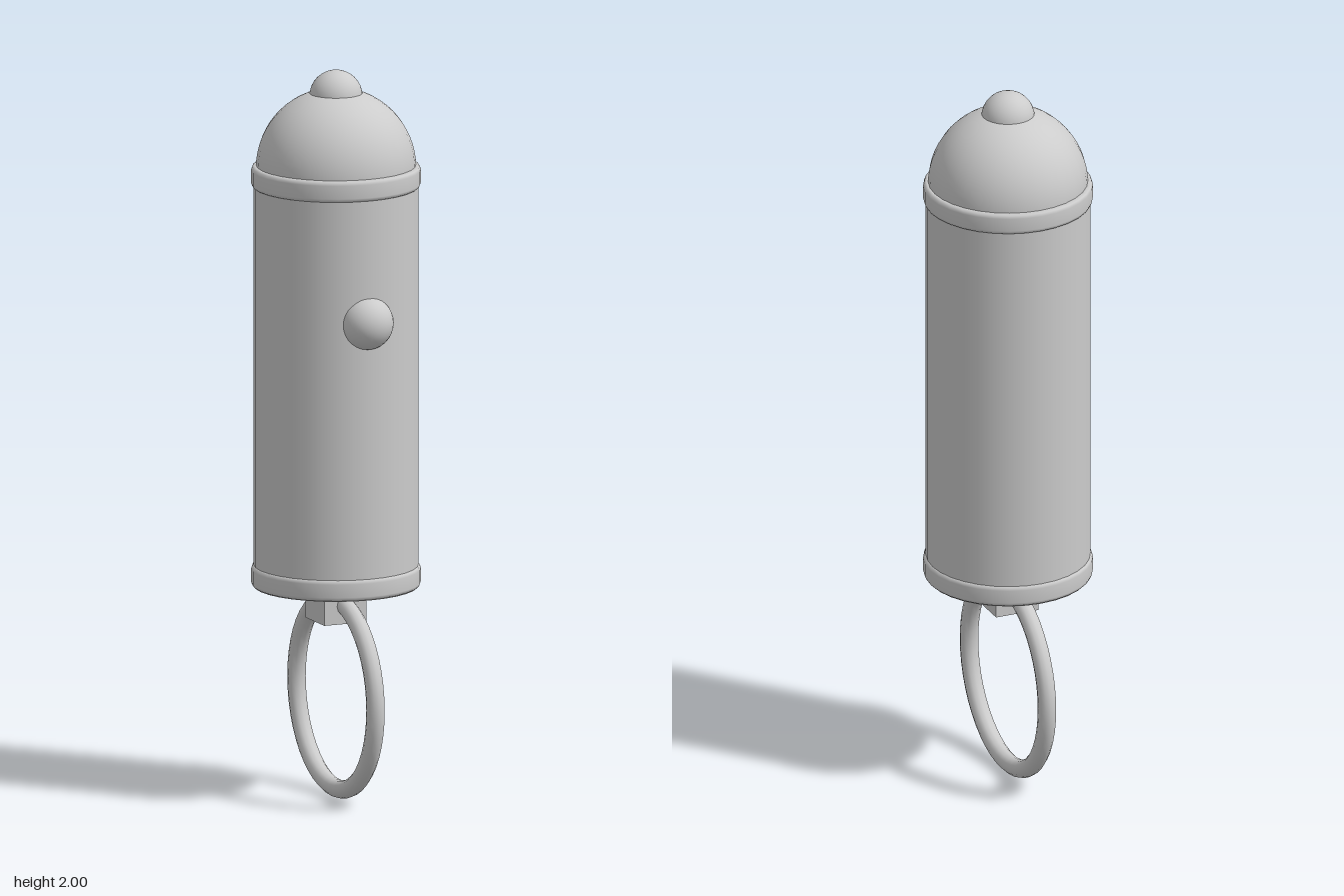
import * as THREE from 'three';

export function createModel() {
  const group = new THREE.Group();
  const material = new THREE.MeshStandardMaterial({ color: 0xcccccc });

  const add = (name, geometry, x, y, z) => {
    const mesh = new THREE.Mesh(geometry, material);
    mesh.name = name;
    mesh.position.set(x, y, z);
    group.add(mesh);
    return mesh;
  };

  // Cylindrical case
  add('body', new THREE.CylinderGeometry(0.222, 0.222, 1.15, 32), 0, 1.157, 0);

  // Rounded bands at both ends of the case
  const bandProfile = [
    [0, -0.03], [0.219, -0.03], [0.226, -0.026], [0.229, -0.018],
    [0.229, 0.018], [0.226, 0.026], [0.219, 0.03], [0, 0.03],
  ].map(([r, y]) => new THREE.Vector2(r, y));
  const bandGeometry = new THREE.LatheGeometry(bandProfile, 32);
  add('lowerBand', bandGeometry, 0, 0.612, 0);
  add('upperBand', bandGeometry, 0, 1.709, 0);

  // Domed cap with a small knob
  add('dome', new THREE.SphereGeometry(0.216, 32, 16, 0, Math.PI * 2, 0, Math.PI / 2), 0, 1.733, 0);
  add('topKnob', new THREE.SphereGeometry(0.072, 32, 16), 0, 1.928, 0);

  // Push button on the front
  add('button', new THREE.SphereGeometry(0.073, 32, 16), 0, 1.342, 0.202);

  // Block under the case and the ring hanging from it
  add('ringMount', new THREE.BoxGeometry(0.125, 0.125, 0.125), 0, 0.55, 0);
  const ring = add('ring', new THREE.TorusGeometry(0.26, 0.025, 12, 48), 0, 0.285, 0);
  ring.rotation.y = Math.PI / 2;

  return group;
}
